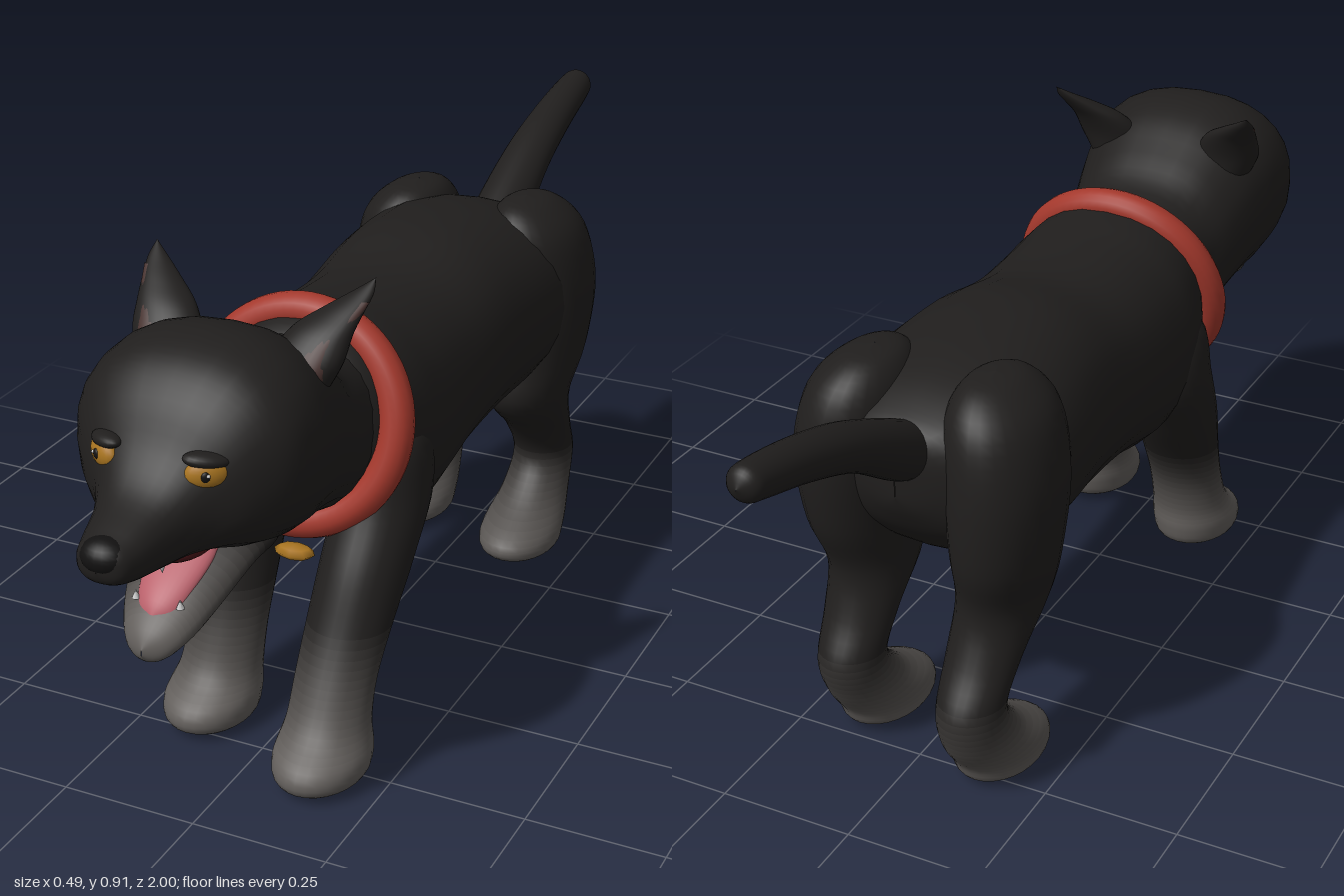
import * as THREE from 'three';

const mat = color => new THREE.MeshStandardMaterial({ color });
const black = mat(0x201e1d), grey = mat(0x625e5b), red = mat(0xa3382c), gold = mat(0xa87420);
const pink = mat(0xb8606a), earPink = mat(0x45302d), mouthRed = mat(0x4a1518);
const white = mat(0xcccccc), noseBlack = mat(0x121111);

// Catmull-Rom blend of whole section rows
function blend(rows, t) {
  const i = Math.min(Math.floor(t), rows.length - 2), f = t - i;
  const at = k => rows[Math.max(0, Math.min(rows.length - 1, k))];
  const [a, b, c, d] = [at(i - 1), at(i), at(i + 1), at(i + 2)];
  return b.map((v, k) => v + 0.5 * f * (c[k] - a[k] + f * (2 * a[k] - 5 * v + 4 * c[k] - d[k]
    + f * (3 * (v - c[k]) + d[k] - a[k]))));
}

// Fur bands fading from one material to another; positions count in fifths of a section
function fade(from, to, start, end) {
  const bands = [[0, from]];
  for (let k = start; k < end; k++) {
    const m = from.clone();
    m.color.lerp(to.color, (k - start + 1) / (end - start + 1));
    bands.push([k, m]);
  }
  return [...bands, [end, to]];
}

// Skin over elliptical sections [cx, cy, cz, r1, r2]; axis 'z' runs back to front, 'y' top to bottom.
// bands = [[firstRing, material], ...]
function loft(name, rows, axis, bands, power = 1) {
  const seg = 28, sub = 5, n = (rows.length - 1) * sub, pos = [], idx = [];
  const bend = v => Math.sign(v) * Math.abs(v) ** power;
  for (let i = 0; i <= n; i++) {
    const [x, y, z, r1, r2] = blend(rows, i / sub);
    for (let j = 0; j < seg; j++) {
      const a = j / seg * Math.PI * 2;
      const u = Math.max(r1, 0.0005) * bend(Math.cos(a)), v = Math.max(r2, 0.0005) * bend(Math.sin(a));
      if (axis === 'z') pos.push(x + u, y + v, z);
      else pos.push(x + u, Math.max(y, 0), z + v);
      if (i < n) {
        const k = (j + 1) % seg, p = i * seg, q = p + seg;
        idx.push(p + j, p + k, q + j, p + k, q + k, q + j);
      }
    }
  }
  const g = new THREE.BufferGeometry();
  g.setAttribute('position', new THREE.Float32BufferAttribute(pos, 3));
  g.setIndex(idx);
  g.computeVertexNormals();
  bands.forEach(([s], b) => {
    const e = b + 1 < bands.length ? bands[b + 1][0] : n;
    g.addGroup(s * seg * 6, (e - s) * seg * 6, b);
  });
  const m = new THREE.Mesh(g, bands.map(b => b[1]));
  m.name = name;
  return m;
}

// [z, top, bottom, halfWidth] -> section
const span = rows => rows.map(([z, t, b, w]) => [0, (t + b) / 2, z, w, (t - b) / 2]);

function ball(name, material, p, s) {
  const m = new THREE.Mesh(new THREE.SphereGeometry(1, 20, 14), material);
  m.name = name;
  m.position.set(...p);
  m.scale.set(...s);
  return m;
}

// [y, x, z, rx, rz]; shift moves the foot of one side back for the walking stance
function leg(name, rows, side, shift, bands) {
  return loft(name, rows.map(([y, x, z, rx, rz]) =>
    [side * x, y, z - shift * Math.max(0, Math.min(1, 1.25 - y / 0.45)), rx, rz]), 'y', bands);
}

const frontLeg = [
  [0.62, 0.125, 0.25, 0, 0], [0.55, 0.13, 0.26, 0.068, 0.08], [0.45, 0.137, 0.28, 0.08, 0.1],
  [0.35, 0.135, 0.345, 0.08, 0.093], [0.25, 0.13, 0.41, 0.076, 0.074], [0.17, 0.128, 0.46, 0.073, 0.066],
  [0.10, 0.13, 0.495, 0.075, 0.075], [0.05, 0.133, 0.525, 0.084, 0.105], [0.012, 0.133, 0.53, 0.07, 0.09],
  [0, 0.133, 0.53, 0, 0]];
const hindLeg = [
  [0.758, 0.115, -0.41, 0, 0], [0.745, 0.118, -0.412, 0.05, 0.075], [0.69, 0.132, -0.42, 0.09, 0.122],
  [0.58, 0.145, -0.43, 0.1, 0.132], [0.45, 0.145, -0.42, 0.09, 0.124], [0.35, 0.135, -0.4, 0.077, 0.108],
  [0.26, 0.132, -0.46, 0.066, 0.068], [0.18, 0.132, -0.5, 0.06, 0.067], [0.11, 0.132, -0.46, 0.066, 0.085],
  [0.05, 0.132, -0.39, 0.08, 0.113], [0.012, 0.132, -0.385, 0.066, 0.092], [0, 0.132, -0.385, 0, 0]];
const earRows = [
  [0.2, 0.912, 0.45, 0, 0], [0.187, 0.892, 0.47, 0.018, 0.012], [0.165, 0.868, 0.497, 0.035, 0.024],
  [0.142, 0.84, 0.525, 0.052, 0.034], [0.127, 0.8, 0.55, 0.062, 0.042], [0.12, 0.76, 0.56, 0.05, 0.045]];

export function createModel() {
  const dog = new THREE.Group();
  dog.name = 'dog';

  // Torso, dipping between the hips, and tail
  dog.add(loft('body', span([
    [-0.555, 0.62, 0.56, 0], [-0.54, 0.67, 0.52, 0.08], [-0.5, 0.7, 0.46, 0.17], [-0.42, 0.733, 0.395, 0.218],
    [-0.3, 0.757, 0.37, 0.222], [-0.15, 0.763, 0.358, 0.208], [0, 0.738, 0.345, 0.203],
    [0.15, 0.745, 0.31, 0.206], [0.24, 0.757, 0.318, 0.202], [0.32, 0.755, 0.365, 0.178],
    [0.38, 0.71, 0.43, 0.13], [0.42, 0.6, 0.5, 0]]), 'z', [[0, black]], 0.9));
  dog.add(loft('tail', [
    [0, 0.81, -1, 0, 0], [0, 0.809, -0.985, 0.027, 0.027], [0, 0.804, -0.95, 0.035, 0.034],
    [0, 0.775, -0.83, 0.042, 0.039], [0, 0.73, -0.7, 0.049, 0.045], [0, 0.655, -0.56, 0.056, 0.058],
    [0, 0.61, -0.46, 0.05, 0.05]], 'z', [[0, black]]));

  // Legs fading into pale socks
  for (const side of [1, -1]) {
    const s = side > 0 ? 'left' : 'right';
    dog.add(leg(s + 'FrontLeg', frontLeg, side, side > 0 ? 0 : 0.09, fade(black, grey, 20, 33)));
    dog.add(leg(s + 'HindLeg', hindLeg, side, side > 0 ? 0 : 0.055, fade(black, grey, 34, 47)));
  }

  // Head with neck and muzzle, open lower jaw and tongue
  const head = new THREE.Group();
  head.name = 'head';
  head.add(loft('skull', span([
    [0.28, 0.73, 0.45, 0.15], [0.4, 0.748, 0.438, 0.155], [0.48, 0.797, 0.465, 0.175], [0.56, 0.846, 0.487, 0.192],
    [0.64, 0.866, 0.5, 0.204], [0.72, 0.848, 0.525, 0.197], [0.78, 0.8, 0.548, 0.157], [0.83, 0.728, 0.556, 0.103],
    [0.88, 0.683, 0.56, 0.075], [0.95, 0.655, 0.57, 0.055], [0.985, 0.642, 0.583, 0.038], [0.995, 0.62, 0.605, 0]]),
  'z', [[0, black]], 0.85));
  head.add(loft('lowerJaw', span([
    [0.58, 0.55, 0.495, 0.1], [0.64, 0.555, 0.485, 0.115], [0.7, 0.545, 0.468, 0.105], [0.78, 0.505, 0.42, 0.083],
    [0.83, 0.47, 0.392, 0.062], [0.865, 0.438, 0.382, 0.036], [0.882, 0.41, 0.4, 0]]),
  'z', fade(black, grey, 8, 22)));
  head.add(loft('tongue', span([
    [0.68, 0.565, 0.53, 0.04], [0.74, 0.542, 0.5, 0.056], [0.8, 0.505, 0.46, 0.046],
    [0.835, 0.475, 0.43, 0.03], [0.85, 0.45, 0.44, 0]]), 'z', [[0, pink]]));
  head.add(ball('mouthInside', mouthRed, [0, 0.548, 0.75], [0.058, 0.028, 0.075]));
  head.add(ball('nose', noseBlack, [0, 0.622, 0.965], [0.042, 0.03, 0.035]));

  for (const side of [1, -1]) {
    const s = side > 0 ? 'left' : 'right';

    // Pointed ear, swept back, with a pink hollow
    head.add(loft(s + 'Ear', earRows.map(([x, ...rest]) => [side * x, ...rest]), 'y', [[0, black]]));
    head.add(loft(s + 'EarInside', earRows.slice(1).map(([x, y, z, rx, rz]) =>
      [side * (x + 0.005), y - 0.008, z + 0.012, rx * 0.74, rz * 0.85]), 'y', [[0, earPink]]));

    // Half-closed eye
    const eye = new THREE.Group();
    eye.name = s + 'Eye';
    eye.add(ball('iris', gold, [0, 0, 0], [0.036, 0.026, 0.019]));
    eye.add(ball('pupil', noseBlack, [-side * 0.004, 0.002, 0.016], [0.008, 0.009, 0.005]));
    eye.add(ball('glint', white, [0, 0.005, 0.02], [0.003, 0.003, 0.003]));
    const lid = ball('upperLid', black, [0, 0.022, -0.004], [0.038, 0.013, 0.021]);
    lid.rotation.z = -side * 0.12;
    eye.add(lid);
    eye.position.set(side * 0.09, 0.706, 0.812);
    eye.rotation.y = side * 0.6;
    head.add(eye);

    // Upper and lower fangs
    for (const [y, x, z, h, flip] of [[0.56, 0.038, 0.87, 0.018, Math.PI], [0.474, 0.04, 0.825, 0.016, 0]]) {
      const fang = new THREE.Mesh(new THREE.ConeGeometry(0.007, h, 8), white);
      fang.name = s + (flip ? 'UpperFang' : 'LowerFang');
      fang.position.set(side * x, y, z);
      fang.rotation.x = flip;
      head.add(fang);
    }
  }
  dog.add(head);

  // Tilted broad collar and its tag
  const collar = new THREE.Mesh(new THREE.TorusGeometry(0.184, 0.031, 16, 64), red);
  collar.name = 'collar';
  collar.position.set(0, 0.583, 0.338);
  collar.rotation.x = -0.27;
  const tag = new THREE.Mesh(new THREE.SphereGeometry(1, 8, 4), gold);
  tag.name = 'collarTag';
  tag.position.set(0, 0.33, 0.365);
  tag.scale.set(0.04, 0.013, 0.024);
  dog.add(collar, tag);
  return dog;
}
